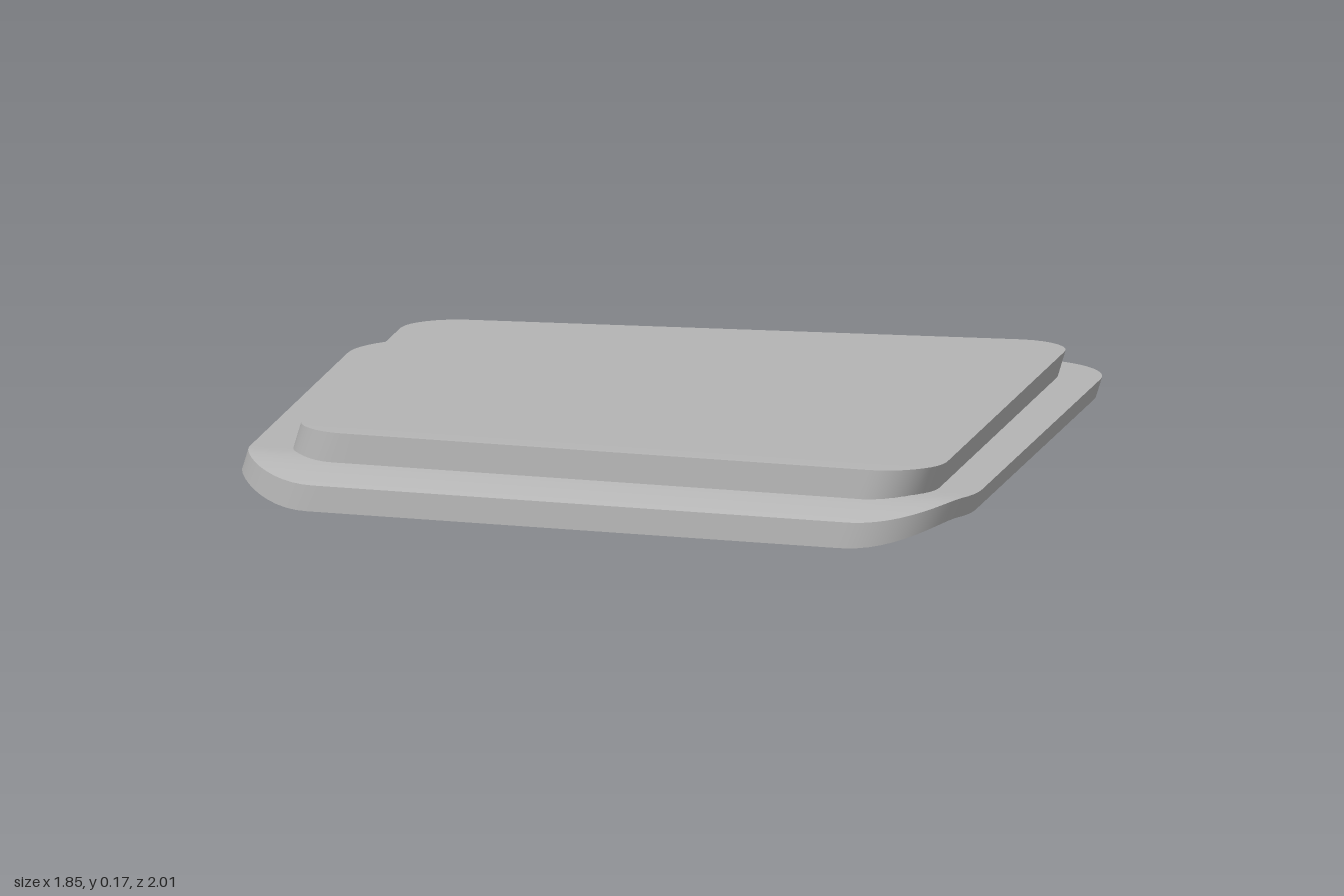
import * as THREE from 'three';

const N = 240;
const SCALES = [1, 0.98, 0.96, 0.94, 0.91, 0.88, 0.84, 0.78, 0];

// Rounded quadrilateral in (x, z); each corner is [x, z, tangent length]
function outline(corners) {
  const shape = new THREE.Shape();
  const n = corners.length;
  corners.forEach((c, i) => {
    const p = new THREE.Vector2(c[0], c[1]);
    const toward = (o) => new THREE.Vector2(o[0], o[1]).sub(p).normalize();
    const a = toward(corners[(i + n - 1) % n]);
    const b = toward(corners[(i + 1) % n]);
    const at = (d, k) => p.clone().addScaledVector(d, c[2] * k);
    const s = at(a, 1), s2 = at(a, 0.45), e2 = at(b, 0.45), e = at(b, 1);
    if (i === 0) shape.moveTo(s.x, s.y);
    else shape.lineTo(s.x, s.y);
    shape.bezierCurveTo(s2.x, s2.y, e2.x, e2.y, e.x, e.y);
  });
  shape.closePath();
  return shape.getSpacedPoints(N).slice(0, N);
}

// Height of a layer: slight tilt, plus a downward curl along the slanted front edge
function height(x, z, offset, curl) {
  const d = 0.887 + 0.185 * x - z;
  const t = THREE.MathUtils.clamp((0.17 - d) / 0.17, 0, 1);
  return 0.103 + 0.0095 * z + offset - curl * Math.pow(t, 1.6);
}

// One closed ring of the outline; lower layers lean toward -x
function ring(points, scale, layer) {
  return points.map((p) => {
    const x = p.x * scale;
    const z = -0.05 + (p.y + 0.05) * scale;
    return [x + layer.lean, height(x, z, layer.offset, layer.curl), z];
  });
}

function skin(rings) {
  const index = [];
  for (let r = 0; r < rings.length - 1; r++) {
    for (let i = 0; i < N; i++) {
      const j = (i + 1) % N;
      const a = r * N, b = a + N;
      index.push(a + i, a + j, b + j, a + i, b + j, b + i);
    }
  }
  const g = new THREE.BufferGeometry();
  g.setAttribute('position', new THREE.Float32BufferAttribute(rings.flat(2), 3));
  g.setIndex(index);
  g.computeVertexNormals();
  return g;
}

// Slab with separate top, bottom and wall so its rims stay sharp
function slab(name, corners, top, bottom, material) {
  const points = outline(corners);
  const group = new THREE.Group();
  group.name = name;
  const add = (part, rings) => {
    const mesh = new THREE.Mesh(skin(rings), material);
    mesh.name = name + part;
    group.add(mesh);
  };
  add('Top', SCALES.map((s) => ring(points, s, top)));
  add('Bottom', [...SCALES].reverse().map((s) => ring(points, s, bottom)));
  add('Wall', [ring(points, 1, bottom), ring(points, 1, top)]);
  return group;
}

export function createModel() {
  const grey = new THREE.MeshStandardMaterial({ color: 0xb4b4b4 });
  grey.name = 'grey';
  const model = new THREE.Group();
  model.name = 'steppedPanel';

  // Wide base plate, curled down at the front
  model.add(slab('basePlate',
    [[-0.905, -1, 0.24], [-0.91, 0.719, 0.2], [0.91, 1.055, 0.29], [0.924, -0.99, 0.24]],
    { offset: 0, curl: 0.047, lean: 0 },
    { offset: -0.049, curl: 0.061, lean: -0.015 }, grey));

  // Raised inner panel
  model.add(slab('raisedPanel',
    [[-0.778, -0.902, 0.14], [-0.785, 0.627, 0.12], [0.826, 0.925, 0.17], [0.836, -0.892, 0.14]],
    { offset: 0.064, curl: 0.008, lean: 0 },
    { offset: -0.003, curl: 0.047, lean: -0.02 }, grey));

  return model;
}
